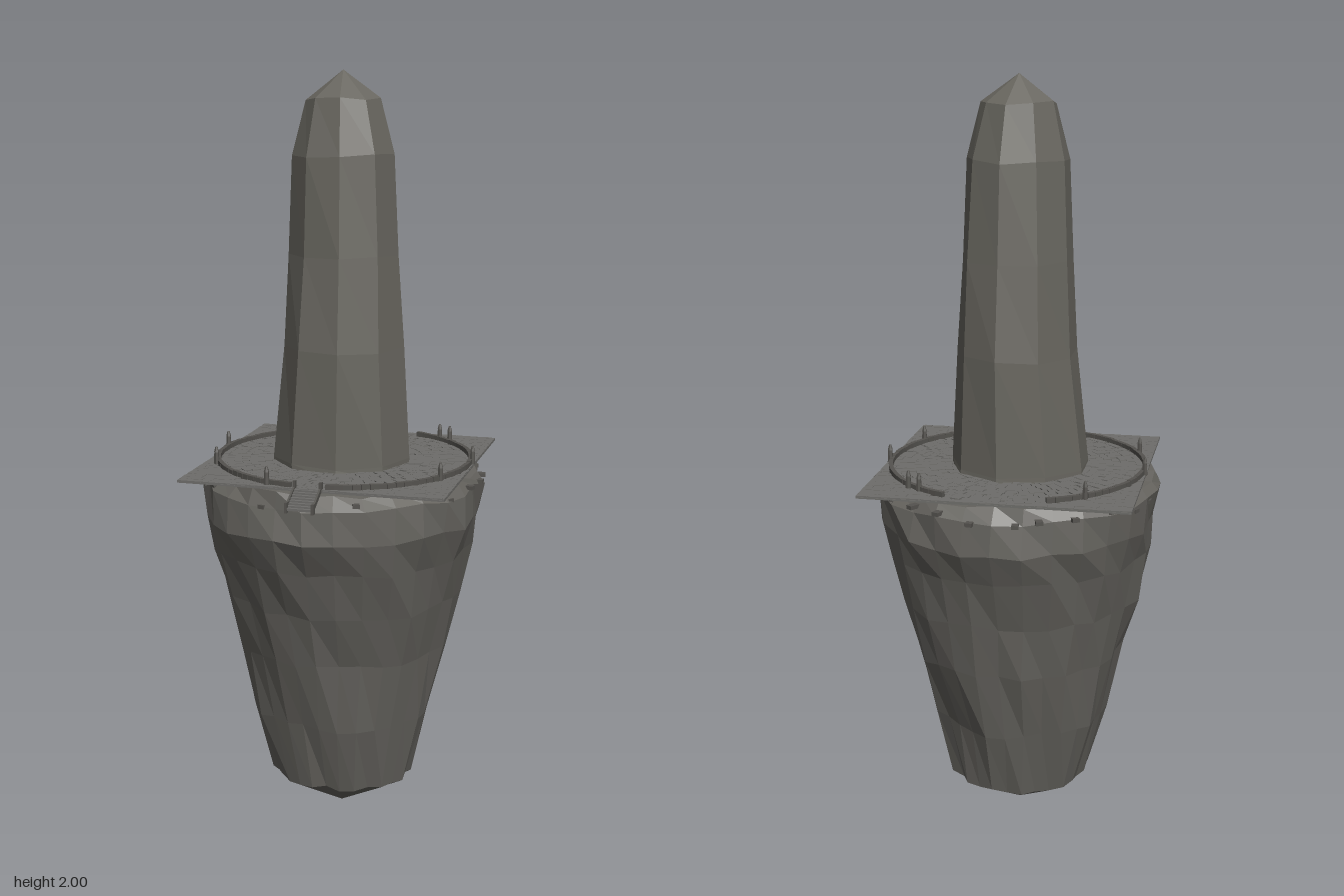
import * as THREE from 'three';
import { mergeGeometries } from 'three/addons/utils/BufferGeometryUtils.js';

const TAU = Math.PI * 2;
const CX = 0.004, CZ = -0.015; // centre of the terrace
const FLOOR = 0.988;

let seed = 7;
const rand = () => {
  seed = (seed * 16807) % 2147483647;
  return seed / 2147483647;
};
const jitter = (a) => (rand() * 2 - 1) * a;

const material = (color) =>
  new THREE.MeshStandardMaterial({ color, flatShading: true, side: THREE.DoubleSide });
const rockMat = material(0x66645f);
const columnMat = material(0x68665f);
const pavingMat = material(0x6e6d6a);
const darkMat = material(0x55534f);

// Rough stone body: rings of [y, xMin, xMax, zMin, zMax], each point shifted a little
function stoneBody(rings, sides, phase, dr, dy) {
  const geo = new THREE.LatheGeometry(rings.map((r) => new THREE.Vector2(1, r[0])), sides, phase);
  const pos = geo.attributes.position;
  const n = rings.length;
  rings.forEach(([y, x0, x1, z0, z1], j) => {
    const end = j === 0 || j === n - 1;
    const push = Array.from({ length: sides }, () => [end ? 0 : jitter(dr), end ? 0 : jitter(dy)]);
    for (let i = 0; i <= sides; i++) {
      const [r, h] = push[i % sides];
      const k = i * n + j;
      const a = phase + (i % sides) / sides * TAU;
      const grow = x1 - x0 < 0.001 ? 0 : r;
      pos.setXYZ(k,
        (x0 + x1) / 2 + Math.sin(a) * ((x1 - x0) / 2 + grow),
        y + h,
        (z0 + z1) / 2 + Math.cos(a) * ((z1 - z0) / 2 + grow));
    }
  });
  geo.computeVertexNormals();
  return geo;
}

function box(w, h, d, x, y, z, turn = 0) {
  return new THREE.BoxGeometry(w, h, d).rotateY(turn).translate(x, y, z);
}

// Box on a circle around the terrace, its depth pointing outwards
function ringBox(w, h, d, radius, y, a) {
  return box(w, h, d, CX + Math.sin(a) * radius, y, CZ + Math.cos(a) * radius, a);
}

export function createModel() {
  const group = new THREE.Group();
  const add = (name, geo, mat) => {
    const mesh = new THREE.Mesh(Array.isArray(geo) ? mergeGeometries(geo) : geo, mat);
    mesh.name = name;
    group.add(mesh);
  };

  // Hanging rock with a pointed underside
  add('rockBase', stoneBody([
    [0, 0, 0, 0, 0],
    [0.11, -0.185, 0.19, -0.185, 0.175],
    [0.3, -0.24, 0.235, -0.235, 0.22],
    [0.49, -0.275, 0.285, -0.285, 0.26],
    [0.64, -0.32, 0.32, -0.32, 0.3],
    [0.77, -0.343, 0.348, -0.352, 0.343],
    [0.86, -0.362, 0.372, -0.385, 0.375],
    [0.945, -0.37, 0.372, -0.385, 0.365],
    [0.976, -0.35, 0.35, -0.355, 0.345],
    [0.98, 0, 0, 0, 0],
  ], 30, 0, 0.011, 0.008), rockMat);

  // Nine-sided stone column
  add('column', stoneBody([
    [0.97, -0.187, 0.182, -0.188, 0.166],
    [1.0, -0.186, 0.18, -0.186, 0.164],
    [1.3, -0.153, 0.163, -0.18, 0.162],
    [1.54, -0.142, 0.152, -0.157, 0.138],
    [1.79, -0.125, 0.136, -0.13, 0.122],
    [1.93, -0.094, 0.1, -0.092, 0.088],
    [2.0, 0.002, 0.002, -0.008, -0.008],
  ], 9, Math.PI / 2, 0.004, 0.005), columnMat);

  // Square terrace floor
  add('terrace', box(0.69, 0.004, 0.69, 0.005, FLOOR - 0.003, -0.015), pavingMat);

  // Running-bond slabs at the corners of the square
  const slabs = [];
  const rows = 38, step = 0.69 / rows;
  for (let r = 0; r < rows; r++) {
    const z = -0.36 + (r + 0.5) * step;
    let x = -0.34;
    while (x < 0.349) {
      const w = Math.min(0.018 + rand() * 0.016, 0.35 - x);
      const mid = x + w / 2;
      if (Math.hypot(mid - CX, z - CZ) > 0.335)
        slabs.push(box(w, 0.003, step, mid, FLOOR + rand() * 0.0015, z));
      x += w;
    }
  }
  add('cornerSlabs', slabs, pavingMat);

  // Irregular flagstones inside the wall
  const flags = [];
  for (let ring = 0; ring < 9; ring++) {
    const radius = 0.165 + ring * 0.02;
    const count = Math.round(TAU * radius / 0.027);
    for (let i = 0; i < count; i++) {
      const a = (i + ring * 0.4 + jitter(0.25)) / count * TAU;
      const y = FLOOR + rand() * 0.0015;
      flags.push(ringBox(0.022 + rand() * 0.008, 0.003, 0.02, radius, y, a));
    }
  }
  add('flagstones', flags, pavingMat);

  // Low ring wall, open at the stairs and at the back
  const wall = [];
  const blocks = 96;
  for (let i = 0; i < blocks; i++) {
    const a = (i + 0.5) / blocks * TAU;
    const x = Math.sin(a) * 0.337;
    const gap = Math.cos(a) > 0 ? 0.04 : 0.135;
    if (Math.abs(x) < gap && Math.abs(Math.cos(a)) > 0.5) continue;
    wall.push(ringBox(0.0215, 0.014, 0.011, 0.337, FLOOR + 0.006 + rand() * 0.002, a));
  }
  add('ringWall', wall, darkMat);

  // Short posts with caps along the wall
  const posts = [];
  [[-0.215, -0.28], [0.205, -0.29], [0.237, -0.272], [-0.337, -0.045], [0.345, -0.05],
    [-0.303, 0.142], [0.302, 0.152], [-0.108, 0.31]].forEach(([x, z]) => {
    posts.push(
      new THREE.CylinderGeometry(0.006, 0.008, 0.034, 6).translate(x, FLOOR + 0.017, z),
      new THREE.CylinderGeometry(0.003, 0.007, 0.014, 6).translate(x, FLOOR + 0.041, z),
    );
  });
  add('wallPosts', posts, darkMat);

  // Stairs leading down from the front edge
  const stairs = [];
  for (let i = 0; i < 8; i++)
    stairs.push(box(0.064, 0.006, 0.0095, 0.004, FLOOR - 0.002 - i * 0.0045, 0.333 + i * 0.0088));
  add('stairs', stairs, pavingMat);

  // Sloping stair rails with end posts
  const rails = [];
  for (const side of [-1, 1]) {
    const x = 0.004 + side * 0.034;
    rails.push(new THREE.BoxGeometry(0.005, 0.012, 0.072).rotateX(0.47).translate(x, FLOOR - 0.015, 0.363));
    for (const [z, y] of [[0.325, FLOOR + 0.008], [0.394, FLOOR - 0.03]])
      rails.push(box(0.007, 0.026, 0.012, x, y, z));
  }
  add('stairRails', rails, darkMat);

  // Small stone pegs sticking out below the rim
  const pegs = [];
  for (let i = 0; i < 26; i++) {
    const a = (i + 0.5 + jitter(0.2)) / 26 * TAU;
    pegs.push(ringBox(0.018, 0.01, 0.03, 0.362, 0.945 + jitter(0.012), a));
  }
  add('rimPegs', pegs, darkMat);

  return group;
}
